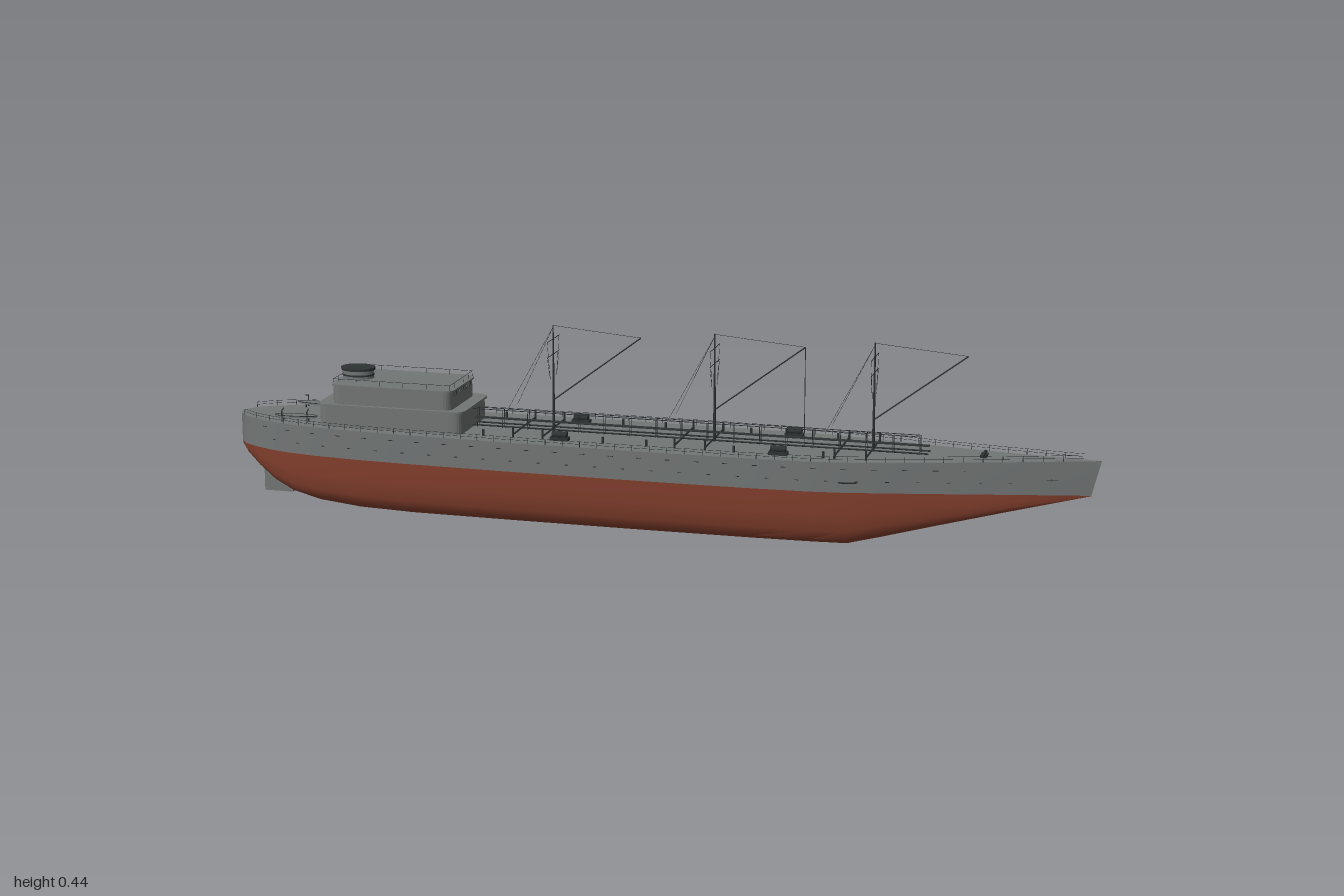
import * as THREE from 'three';
import { mergeGeometries, toCreasedNormals } from 'three/addons/utils/BufferGeometryUtils.js';

const V = (x, y, z) => new THREE.Vector3(x, y, z);
const WATER = 0.133;

// Hull stations: x, half width, keel height
const STATIONS = [
  [-1, 0.004, 0.131], [-0.995, 0.02, 0.126], [-0.975, 0.044, 0.108], [-0.94, 0.065, 0.08],
  [-0.9, 0.083, 0.052], [-0.85, 0.099, 0.03], [-0.78, 0.112, 0.015], [-0.68, 0.122, 0.006],
  [-0.55, 0.128, 0.003], [-0.3, 0.133, 0.003], [0, 0.134, 0.003], [0.25, 0.13, 0.003],
  [0.38, 0.124, 0.003], [0.45, 0.115, 0.003], [0.52, 0.101, 0.02], [0.65, 0.073, 0.053],
  [0.8, 0.039, 0.09], [0.975, 0.0005, 0.132],
];
// Half section below the waterline: width fraction, height fraction
const SECTION = [[0, 0], [0.3, 0], [0.53, 0.004], [0.68, 0.045], [0.79, 0.12], [0.88, 0.29], [0.945, 0.6], [1, 1]];

const sheer = x => 0.2 + 0.012 * Math.max(0, (x - 0.3) / 0.675) ** 2;
const rake = x => x + 0.02 * Math.max(0, (x - 0.5) / 0.475) ** 2;
function halfWidth(x) {
  const i = Math.min(STATIONS.length - 2, Math.max(0, STATIONS.findIndex(s => s[0] > x) - 1));
  const [a, b] = [STATIONS[i], STATIONS[i + 1]];
  return a[1] + (b[1] - a[1]) * (x - a[0]) / (b[0] - a[0]);
}

// Skin between rows of points
function loft(rows, crease = 0.5) {
  const n = rows[0].length, pos = [], idx = [];
  rows.forEach(r => r.forEach(p => pos.push(p.x, p.y, p.z)));
  for (let i = 0; i < rows.length - 1; i++) for (let j = 0; j < n - 1; j++) {
    const a = i * n + j, b = a + n;
    idx.push(a, a + 1, b, a + 1, b + 1, b);
  }
  const g = new THREE.BufferGeometry();
  g.setAttribute('position', new THREE.Float32BufferAttribute(pos, 3));
  g.setIndex(idx);
  g.computeVertexNormals();
  return toCreasedNormals(g, crease);
}

// Thin round bar between two points
function bar([a, b, r = 0.001]) {
  const d = b.clone().sub(a);
  const g = new THREE.CylinderGeometry(r, r, d.length(), 5);
  g.applyQuaternion(new THREE.Quaternion().setFromUnitVectors(V(0, 1, 0), d.normalize()));
  return g.translate((a.x + b.x) / 2, (a.y + b.y) / 2, (a.z + b.z) / 2);
}

function roundedBlock(x0, x1, y0, y1, hz, r) {
  const s = new THREE.Shape();
  s.moveTo(x0 + r, -hz).lineTo(x1 - r, -hz);
  s.quadraticCurveTo(x1, -hz, x1, -hz + r).lineTo(x1, hz - r);
  s.quadraticCurveTo(x1, hz, x1 - r, hz).lineTo(x0 + r, hz);
  s.quadraticCurveTo(x0, hz, x0, hz - r).lineTo(x0, -hz + r);
  s.quadraticCurveTo(x0, -hz, x0 + r, -hz);
  const g = new THREE.ExtrudeGeometry(s, { depth: y1 - y0, bevelEnabled: false, curveSegments: 6 });
  return g.rotateX(-Math.PI / 2).translate(0, y0, 0);
}

export function createModel() {
  const root = new THREE.Group();
  const mat = (name, color, side = THREE.FrontSide) => {
    const m = new THREE.MeshStandardMaterial({ color, side });
    m.name = name;
    return m;
  };
  const grey = mat('ship grey', 0x727675, THREE.DoubleSide);
  const red = mat('hull red', 0x8a4330, THREE.DoubleSide);
  const dark = mat('dark fittings', 0x2f3334, THREE.DoubleSide);
  const add = (name, geo, m, parent = root) => {
    const mesh = new THREE.Mesh(geo, m);
    mesh.name = name;
    parent.add(mesh);
    return mesh;
  };
  const bars = (name, list, m = dark, parent = root) => add(name, mergeGeometries(list.map(bar)), m, parent);
  const box = (w, h, d, x, y, z) => new THREE.BoxGeometry(w, h, d).translate(x, y, z);

  // Hull
  add('lowerHull', loft(STATIONS.map(([x, w, k]) => {
    const half = SECTION.map(([f, t]) => [w * f, k + (WATER - k) * t]);
    return [...half.slice().reverse().map(([z, y]) => V(x, y, z)), ...half.slice(1).map(([z, y]) => V(x, y, -z))];
  })), red);
  for (const s of [1, -1]) {
    const rows = STATIONS.map(([x, w]) => [V(x, WATER, s * w), V(rake(x), sheer(x), s * w)]);
    add(s > 0 ? 'leftTopside' : 'rightTopside', loft(s > 0 ? rows.map(r => r.reverse()) : rows), grey);
  }
  add('deck', loft(STATIONS.map(([x, w]) => [-1, 0, 1].map(s => V(rake(x), sheer(x), s * w)))), grey);
  add('rudder', box(0.07, 0.08, 0.008, -0.915, 0.052, 0), grey);

  // Hull plating marks, anchors and deck railing
  const marks = [], rails = [];
  for (const s of [1, -1]) {
    const at = (x, y, out = 0) => V(y > 0.19 ? rake(x) : x, y, s * (halfWidth(x) + out));
    for (let x = -0.92; x < 0.9; x += 0.065) {
      marks.push([at(x, 0.185), at(x + 0.012, 0.185), 0.0009]);
      marks.push([at(x + 0.03, 0.158), at(x + 0.038, 0.158), 0.0009]);
    }
    marks.push([at(0.44, 0.155), at(0.48, 0.155), 0.0018]);
    marks.push([at(0.89, 0.165), at(0.89, 0.184), 0.0022], [at(0.88, 0.166), at(0.905, 0.166), 0.0022]);
    for (let x = -0.98; x < 0.94; x += 0.04) {
      const a = at(x, sheer(x), -0.001), b = at(x + 0.04, sheer(x + 0.04), -0.001);
      rails.push([a, a.clone().setY(a.y + 0.013), 0.0007]);
      for (const h of [0.007, 0.013])
        rails.push([a.clone().setY(a.y + h), b.clone().setY(b.y + h), 0.0004]);
    }
  }
  bars('hullMarks', marks);
  bars('deckRailing', rails);

  // Deckhouse
  const house = new THREE.Group();
  house.name = 'deckhouse';
  root.add(house);
  add('lowerHouse', roundedBlock(-0.775, -0.43, 0.198, 0.247, 0.095, 0.025), grey, house);
  add('lowerRoof', roundedBlock(-0.778, -0.425, 0.247, 0.252, 0.097, 0.027), grey, house);
  add('upperHouse', roundedBlock(-0.745, -0.457, 0.252, 0.293, 0.087, 0.025), grey, house);
  add('upperRoof', roundedBlock(-0.748, -0.453, 0.293, 0.297, 0.089, 0.027), grey, house);
  for (let i = 0; i < 8; i++) {
    const z = (i - 3.5) * 0.0165;
    add('windowFrame', box(0.002, 0.01, 0.01, -0.4565, 0.286, z), dark, house);
    add('windowPane', box(0.002, 0.008, 0.008, -0.456, 0.286, z), grey, house);
  }
  const roofRail = [];
  const corners = [[-0.74, 0.08], [-0.46, 0.08], [-0.46, -0.08], [-0.74, -0.08]];
  corners.forEach(([x, z], i) => {
    const [x2, z2] = corners[(i + 1) % 4];
    roofRail.push([V(x, 0.309, z), V(x2, 0.309, z2), 0.0005]);
    for (let k = 0; k < 5; k++) {
      const px = x + (x2 - x) * k / 5, pz = z + (z2 - z) * k / 5;
      roofRail.push([V(px, 0.295, pz), V(px, 0.309, pz), 0.0005]);
    }
  });
  bars('roofRailing', roofRail, dark, house);

  // Funnel with rim bands
  const oval = (rx, rz, y0, y1, x, z, open = false) =>
    new THREE.CylinderGeometry(1, 1, y1 - y0, 28, 1, open).scale(rx, 1, rz).translate(x, (y0 + y1) / 2, z);
  add('funnel', oval(0.037, 0.03, 0.295, 0.316, -0.71, 0), grey, house);
  add('funnelTop', oval(0.04, 0.033, 0.316, 0.322, -0.71, 0), dark, house);
  add('funnelBand', oval(0.0375, 0.0305, 0.303, 0.307, -0.71, 0), dark, house);

  // Boats by the stern, on short davits
  for (const s of [1, -1]) {
    const boat = new THREE.Group();
    boat.name = s > 0 ? 'leftBoat' : 'rightBoat';
    boat.position.set(-0.84, 0, s * 0.065);
    boat.rotation.y = s * 0.08;
    root.add(boat);
    add('boatBody', oval(0.048, 0.011, 0.209, 0.214, 0, 0), grey, boat);
    add('boatRim', new THREE.TorusGeometry(1, 0.03, 5, 28).rotateX(Math.PI / 2).scale(0.05, 0.03, 0.012).translate(0, 0.214, 0), dark, boat);
    bars('davits', [-0.03, 0.03].flatMap(x => [
      [V(x, 0.2, s * 0.014), V(x, 0.226, s * 0.014), 0.0015],
      [V(x, 0.226, s * 0.014), V(x, 0.23, 0), 0.0013],
      [V(x, 0.2, 0), V(x, 0.21, 0), 0.002]]), dark, boat);
  }

  // Catwalk and pipes along the centre line
  add('catwalk', box(1.05, 0.002, 0.014, 0.095, 0.221, 0), dark);
  const walk = [];
  for (const s of [1, -1]) {
    walk.push([V(-0.43, 0.242, s * 0.008), V(0.6, 0.242, s * 0.008), 0.0009]);
    walk.push([V(-0.43, 0.206, s * 0.014), V(0.62, 0.206, s * 0.014), 0.002]);
    for (let x = -0.42; x < 0.61; x += 0.06) walk.push([V(x, 0.2, s * 0.008), V(x, 0.242, s * 0.008), 0.0008]);
  }
  bars('catwalkFrame', walk);

  // Masts with booms, crossbars and rigging
  for (const x of [-0.24, 0.135, 0.495]) {
    const mast = new THREE.Group();
    mast.name = 'mast';
    mast.position.x = x;
    root.add(mast);
    const pole = new THREE.CylinderGeometry(0.0016, 0.0034, 0.245, 8).translate(0, 0.3225, 0);
    add('mastPole', pole, dark, mast);
    bars('boom', [[V(0, 0.272, 0), V(0.205, 0.426, 0), 0.0016]], dark, mast);
    const lines = [[V(0, 0.444, 0), V(0.205, 0.426, 0), 0.0005]];
    for (const s of [1, -1]) {
      lines.push([V(0, 0.413, 0), V(0, 0.413, s * 0.045), 0.0009], [V(0, 0.378, 0), V(0, 0.378, s * 0.045), 0.0009]);
      lines.push([V(0, 0.413, s * 0.045), V(0, 0.325, s * 0.024), 0.0004]);
      lines.push([V(0, 0.378, s * 0.045), V(0, 0.325, s * 0.024), 0.0004]);
      lines.push([V(0, 0.44, 0), V(-0.1, 0.245, s * 0.042), 0.0004]);
    }
    bars('rigging', lines, dark, mast);
    // Cross pipes on deck beside each mast
    const pipes = [];
    for (const [dx, w] of [[-0.07, 0.085], [0, 0.085]]) {
      pipes.push([V(dx, 0.207, -w), V(dx, 0.207, w), 0.0022]);
      for (const s of [1, -1]) pipes.push([V(dx, 0.2, s * w), V(dx, 0.223, s * w), 0.0025]);
    }
    bars('crossPipes', pipes, dark, mast);
  }
  bars('boomStay', [[V(0.34, 0.2, 0), V(0.34, 0.426, 0), 0.0009]]);

  // Winches and bollards
  for (const s of [1, -1]) {
    for (const x of [-0.2, 0.3]) {
      add('winchBase', box(0.042, 0.008, 0.018, x, 0.205, s * 0.085), dark);
      add('winchDrum', new THREE.CylinderGeometry(0.008, 0.008, 0.034, 12).rotateZ(Math.PI / 2).translate(x, 0.214, s * 0.085), dark);
    }
    for (const x of [-0.38, -0.1, 0.0, 0.2, 0.4])
      add('bollard', new THREE.CylinderGeometry(0.003, 0.003, 0.016, 8).translate(x, 0.207, s * 0.085), dark);
  }
  add('windlass', new THREE.CylinderGeometry(0.004, 0.004, 0.046, 10).rotateX(Math.PI / 2).translate(0.74, 0.211, 0), dark);
  add('windlassBase', box(0.014, 0.008, 0.03, 0.74, 0.207, 0), dark);
  return root;
}
